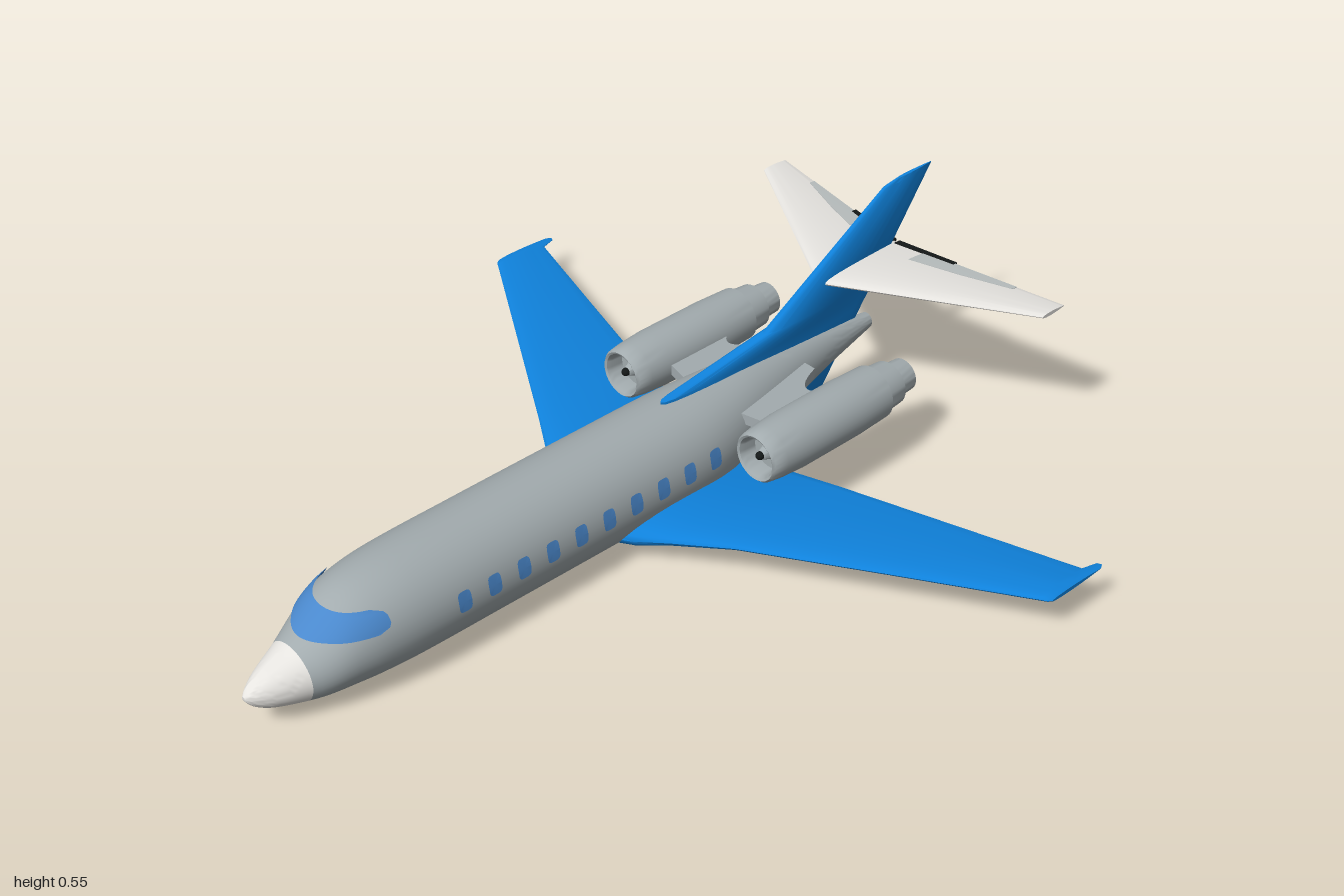
import * as THREE from 'three';
import { toCreasedNormals } from 'three/addons/utils/BufferGeometryUtils.js';

const mat = (name, color, side = THREE.FrontSide) => {
  const m = new THREE.MeshStandardMaterial({ color, side });
  m.name = name;
  return m;
};

// Fuselage stations: z, top y, bottom y, half width
const KEYS = [
  [1, 0.098, 0.088, 0.005], [0.985, 0.112, 0.068, 0.02], [0.95, 0.132, 0.048, 0.042],
  [0.88, 0.162, 0.03, 0.072], [0.835, 0.19, 0.023, 0.09], [0.78, 0.232, 0.018, 0.106],
  [0.72, 0.253, 0.015, 0.119], [0.62, 0.264, 0.012, 0.128], [0.4, 0.266, 0.01, 0.13],
  [0, 0.266, 0.005, 0.13], [-0.18, 0.266, 0.001, 0.128], [-0.27, 0.265, 0.01, 0.118],
  [-0.4, 0.261, 0.05, 0.09], [-0.6, 0.24, 0.115, 0.048], [-0.81, 0.21, 0.17, 0.018],
];

// Smooth cubic interpolation of one column of the stations
function profile(z, col) {
  const n = KEYS.length;
  let i = 0;
  while (i < n - 2 && z < KEYS[i + 1][0]) i++;
  const slope = (k) => {
    const a = KEYS[Math.max(0, k - 1)], b = KEYS[Math.min(n - 1, k + 1)];
    return (b[col] - a[col]) / (b[0] - a[0]);
  };
  const a = KEYS[i], b = KEYS[i + 1], d = b[0] - a[0], t = (z - a[0]) / d;
  const t2 = t * t, t3 = t2 * t;
  return a[col] * (2 * t3 - 3 * t2 + 1) + slope(i) * d * (t3 - 2 * t2 + t)
    + b[col] * (3 * t2 - 2 * t3) + slope(i + 1) * d * (t3 - t2);
}

function section(z) {
  const top = profile(z, 1), bottom = profile(z, 2);
  return { cy: (top + bottom) / 2, ry: (top - bottom) / 2, rx: profile(z, 3) };
}

// Half width of the fuselage skin at height y, raised a little for painted plates
function skinX(y, z, lift = 0.004) {
  const { cy, ry, rx } = section(z);
  return (rx + lift) * Math.sqrt(Math.max(0, 1 - ((y - cy) / (ry + lift)) ** 2));
}

// Closed solid through a list of equal-length rings, with flat end caps
function loft(rings, crease = 0.7) {
  const n = rings[0].length, pts = rings.flat(), idx = [];
  for (let r = 0; r < rings.length - 1; r++) {
    for (let i = 0; i < n; i++) {
      const a = r * n + i, b = r * n + (i + 1) % n;
      idx.push(a, b, a + n, b, b + n, a + n);
    }
  }
  [rings[0], rings[rings.length - 1]].forEach((ring, end) => {
    const base = pts.length;
    const mid = ring.reduce((s, p) => s.add(p), new THREE.Vector3()).divideScalar(n);
    pts.push(...ring, mid);
    for (let i = 0; i < n; i++) {
      const a = base + i, b = base + (i + 1) % n;
      idx.push(base + n, end ? a : b, end ? b : a);
    }
  });
  // Turn the faces outward
  let volume = 0;
  const cross = new THREE.Vector3();
  for (let i = 0; i < idx.length; i += 3) {
    volume += pts[idx[i]].dot(cross.crossVectors(pts[idx[i + 1]], pts[idx[i + 2]]));
  }
  if (volume < 0) idx.reverse();
  const g = new THREE.BufferGeometry().setFromPoints(pts);
  g.setIndex(idx);
  return toCreasedNormals(g, crease);
}

function fuselageLoft(z0, z1, steps) {
  const rings = [];
  for (let s = 0; s <= steps; s++) {
    const z = z0 + (z1 - z0) * s / steps, { cy, ry, rx } = section(z), ring = [];
    for (let i = 0; i < 40; i++) {
      const a = i / 40 * Math.PI * 2;
      ring.push(new THREE.Vector3(rx * Math.cos(a), cy + ry * Math.sin(a), z));
    }
    rings.push(ring);
  }
  return loft(rings);
}

// Aerofoil outline between chord fractions c0 and c1, as [z, thickness offset] pairs
function foil(le, te, half, c0 = 0, c1 = 1, grow = 0) {
  const out = [];
  for (let i = 0; i < 28; i++) {
    const a = i / 28 * Math.PI * 2;
    const c = c0 + (c1 - c0) * (1 - Math.cos(a)) / 2;
    const th = half * (2.45 * Math.sqrt(c) * Math.max(0, 1 - c) + 0.08) + grow;
    out.push([le + (te - le) * c, (i % 14 ? Math.sign(Math.sin(a)) : 0) * th]);
  }
  return out;
}

// Wing stations: x, leading z, trailing z, mid y, half thickness
const wingRing = ([x, le, te, mid, half], c0, c1, grow) =>
  foil(le, te, half, c0, c1, grow).map(([z, t]) => new THREE.Vector3(x, mid + t, z));
const mirrored = (st) =>
  [...st.slice(1).reverse().map(([x, ...rest]) => [-x, ...rest]), ...st];

export function createModel() {
  const root = new THREE.Group();
  root.name = 'businessJet';
  const grey = mat('body grey', 0xa2abae);
  const white = mat('light trim', 0xe6e4e0);
  const blue = mat('wing blue', 0x0f82dc);
  const glass = mat('window blue', 0x4a88cc, THREE.DoubleSide);
  const panel = mat('panel grey', 0xbcc2c2);
  const black = mat('black', 0x141818);
  const add = (name, geo, m, parent = root) => {
    const mesh = new THREE.Mesh(geo, m);
    mesh.name = name;
    parent.add(mesh);
    return mesh;
  };

  // Fuselage
  add('noseCone', fuselageLoft(1, 0.88, 14), white);
  add('fuselage', fuselageLoft(0.88, -0.81, 90), grey);

  // Windscreen band wrapped round the nose
  const screen = new THREE.PlaneGeometry(2, 1, 40, 6), sp = screen.attributes.position;
  for (let i = 0; i < sp.count; i++) {
    const u = sp.getX(i), v = sp.getY(i), y = 0.201 + v * 0.046;
    let lo = 0.6, hi = 0.99;
    for (let k = 0; k < 30; k++) {
      const m = (lo + hi) / 2;
      if (profile(m, 1) + 0.004 > y) lo = m; else hi = m;
    }
    const end = 0.705 + 0.03 * (2 * v) ** 4, z = lo - (lo - end) * u * u;
    sp.setXYZ(i, Math.sign(u) * skinX(y, z), y, z);
  }
  screen.computeVertexNormals();
  add('windscreen', screen, glass);

  // Cabin windows, ten a side
  for (const side of [1, -1]) {
    for (let w = 0; w < 10; w++) {
      const g = new THREE.CircleGeometry(1, 20), p = g.attributes.position;
      const soft = (v) => Math.sign(v) * Math.sqrt(Math.abs(v));
      for (let i = 0; i < p.count; i++) {
        const z = 0.53 - w * 0.08 - side * soft(p.getX(i)) * 0.017;
        const y = 0.162 + soft(p.getY(i)) * 0.024;
        p.setXYZ(i, side * skinX(y, z), y, z);
      }
      g.computeVertexNormals();
      add('cabinWindow', g, glass);
    }
  }

  // Main wing, tip to tip
  const wing = mirrored([
    [0, 0.11, -0.38, 0.064, 0.036], [0.06, 0.105, -0.375, 0.064, 0.036],
    [0.13, 0.06, -0.365, 0.064, 0.036], [0.2, 0.016, -0.365, 0.077, 0.024],
    [0.32, -0.06, -0.388, 0.092, 0.014], [0.6, -0.235, -0.472, 0.096, 0.011],
    [0.87, -0.404, -0.555, 0.098, 0.009], [0.88, -0.41, -0.592, 0.098, 0.009],
    [0.89, -0.416, -0.597, 0.098, 0.008], [0.897, -0.425, -0.585, 0.098, 0.005],
  ]);
  add('wing', loft(wing.map((s) => wingRing(s))), blue);

  // Tall fin and the ventral fin below it: y, leading z, trailing z, half thickness
  const fin = [
    [0.04, -0.4, -0.44, 0.008], [0.07, -0.38, -0.67, 0.012], [0.245, -0.14, -0.79, 0.02],
    [0.272, -0.14, -0.81, 0.02], [0.31, -0.46, -0.836, 0.019],
    [0.54, -0.835, -0.995, 0.007], [0.548, -0.88, -1, 0.004],
  ];
  add('fin', loft(fin.map(([y, le, te, half]) =>
    foil(le, te, half).map(([z, t]) => new THREE.Vector3(t, y, z)))), blue);

  // Tailplane with elevator panels and dark trailing strips
  const tailAt = (x) => {
    const k = Math.abs(x) / 0.44;
    return [x, -0.63 - 0.27 * k, -0.895 - 0.08 * k, 0.371, 0.013 - 0.008 * k];
  };
  add('tailplane', loft([-0.44, -0.2, 0, 0.2, 0.44].map((x) => wingRing(tailAt(x)))), white);
  for (const s of [1, -1]) {
    add('elevatorPanel', loft([[0.08, 0.74], [0.2, 0.76], [0.32, 0.87]].map(([x, c]) =>
      wingRing(tailAt(s * x), c, 1, 0.0012))), panel);
    add('trailingStrip', loft([0.005, 0.16].map((x) =>
      wingRing(tailAt(s * x), 0.955, 1.025, 0.0022))), black);
  }

  // Engines: spinner, fan face, intake lip, cowl and stepped exhaust (radius, distance aft)
  const cowl = [
    [0, 0.012], [0.012, 0.022], [0.02, 0.045], [0.044, 0.045], [0.046, 0.015], [0.05, 0.003],
    [0.055, 0], [0.06, 0.006], [0.065, 0.04], [0.069, 0.1], [0.069, 0.28], [0.065, 0.375],
    [0.057, 0.38], [0.053, 0.43], [0.042, 0.435], [0.039, 0.48], [0.032, 0.48],
    [0.03, 0.44], [0, 0.43],
  ].map(([r, d]) => new THREE.Vector2(r, d));
  for (const s of [1, -1]) {
    const engine = new THREE.Group();
    engine.name = s > 0 ? 'leftEngine' : 'rightEngine';
    engine.position.set(s * 0.217, 0.197, -0.22);
    root.add(engine);
    const g = new THREE.LatheGeometry(cowl, 36).rotateX(-Math.PI / 2);
    add('nacelle', toCreasedNormals(g, 0.6), grey, engine);
    add('spinnerTip', new THREE.SphereGeometry(0.01, 14, 10), black, engine).position.z = -0.016;

    // Pylon with a hollow rear edge
    const shape = new THREE.Shape();
    shape.moveTo(s * 0.04, -0.29);
    shape.lineTo(s * 0.165, -0.32);
    shape.lineTo(s * 0.165, -0.52);
    shape.bezierCurveTo(s * 0.14, -0.46, s * 0.105, -0.46, s * 0.08, -0.55);
    shape.lineTo(s * 0.03, -0.55);
    const pylon = new THREE.ExtrudeGeometry(shape, { depth: 0.026, bevelEnabled: false, curveSegments: 12 });
    add('pylon', pylon.rotateX(Math.PI / 2), grey).position.y = 0.212;
  }
  return root;
}
